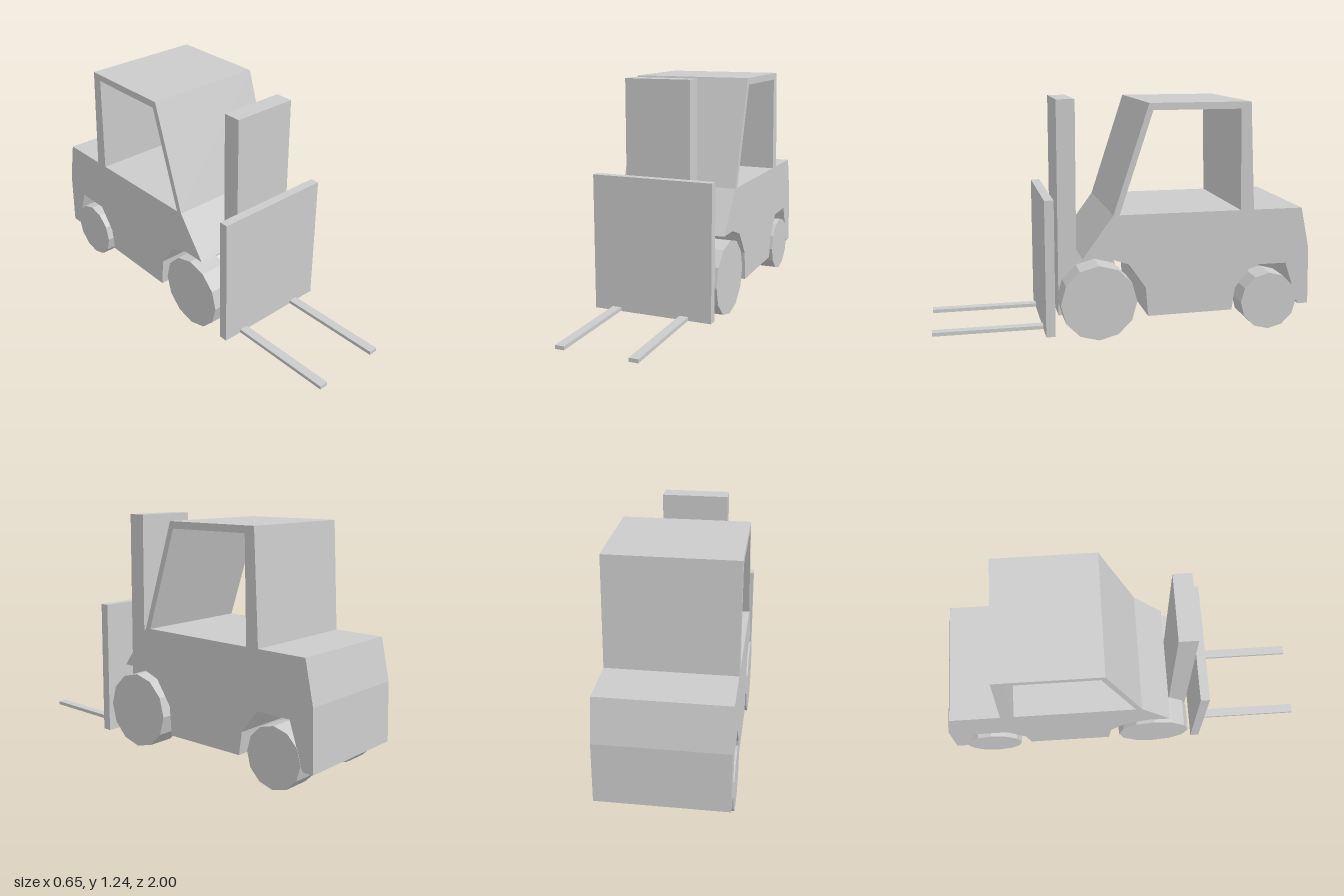
import * as THREE from 'three';

const material = new THREE.MeshStandardMaterial({ color: 0xcccccc, flatShading: true });

const points = (list) => list.map(([z, y]) => new THREE.Vector2(z, y));

export function createModel() {
  const model = new THREE.Group();
  model.name = 'forklift';

  const add = (name, geometry) => {
    const mesh = new THREE.Mesh(geometry, material);
    mesh.name = name;
    model.add(mesh);
  };

  // Box given by its limits on each axis
  const addBox = (name, [x0, x1], [y0, y1], [z0, z1]) => {
    const geometry = new THREE.BoxGeometry(x1 - x0, y1 - y0, z1 - z0);
    geometry.translate((x0 + x1) / 2, (y0 + y1) / 2, (z0 + z1) / 2);
    add(name, geometry);
  };

  // Body and cab: one side profile (z, y) with a window opening, extruded across x
  const profile = new THREE.Shape(points([
    [0.235, 0.44], [0.075, 0.66], [-0.107, 1.223], [-0.642, 1.223], [-0.675, 0.66],
    [-0.942, 0.66], [-0.99, 0.44], [-1, 0.13], [-0.945, 0.13], [-0.93, 0.155],
    [-0.9, 0.255], [-0.863, 0.362], [-0.675, 0.362], [-0.583, 0.24], [-0.567, 0.12],
    [-0.11, 0.115], [-0.096, 0.27], [-0.005, 0.4], [0.11, 0.44],
  ]));
  profile.holes.push(new THREE.Path(points([
    [0.043, 0.66], [-0.128, 1.187], [-0.588, 1.187], [-0.604, 0.66],
  ])));
  const width = 0.646;
  const body = new THREE.ExtrudeGeometry(profile, { depth: width, bevelEnabled: false });
  body.translate(0, 0, -width / 2);
  body.rotateY(-Math.PI / 2);
  add('body', body);

  // Wheels: front pair larger than the rear pair
  const addWheel = (name, x, z, radius) => {
    const wheel = new THREE.CylinderGeometry(radius, radius, 0.148, 12);
    wheel.rotateZ(Math.PI / 2);
    wheel.translate(x, radius, z);
    add(name, wheel);
  };
  for (const [side, x] of [['Left', 0.251], ['Right', -0.255]]) {
    addWheel(`front${side}Wheel`, x, 0.149, 0.2);
    addWheel(`rear${side}Wheel`, x, -0.775, 0.156);
  }

  // Lifting gear
  addBox('mast', [-0.175, 0.177], [0.1, 1.237], [0.245, 0.342]);
  addBox('carriagePlate', [-0.323, 0.326], [0.037, 0.75], [0.378, 0.426]);
  addBox('rightFork', [-0.222, -0.174], [0.039, 0.058], [0.42, 1]);
  addBox('leftFork', [0.155, 0.203], [0.039, 0.058], [0.42, 1]);

  return model;
}
